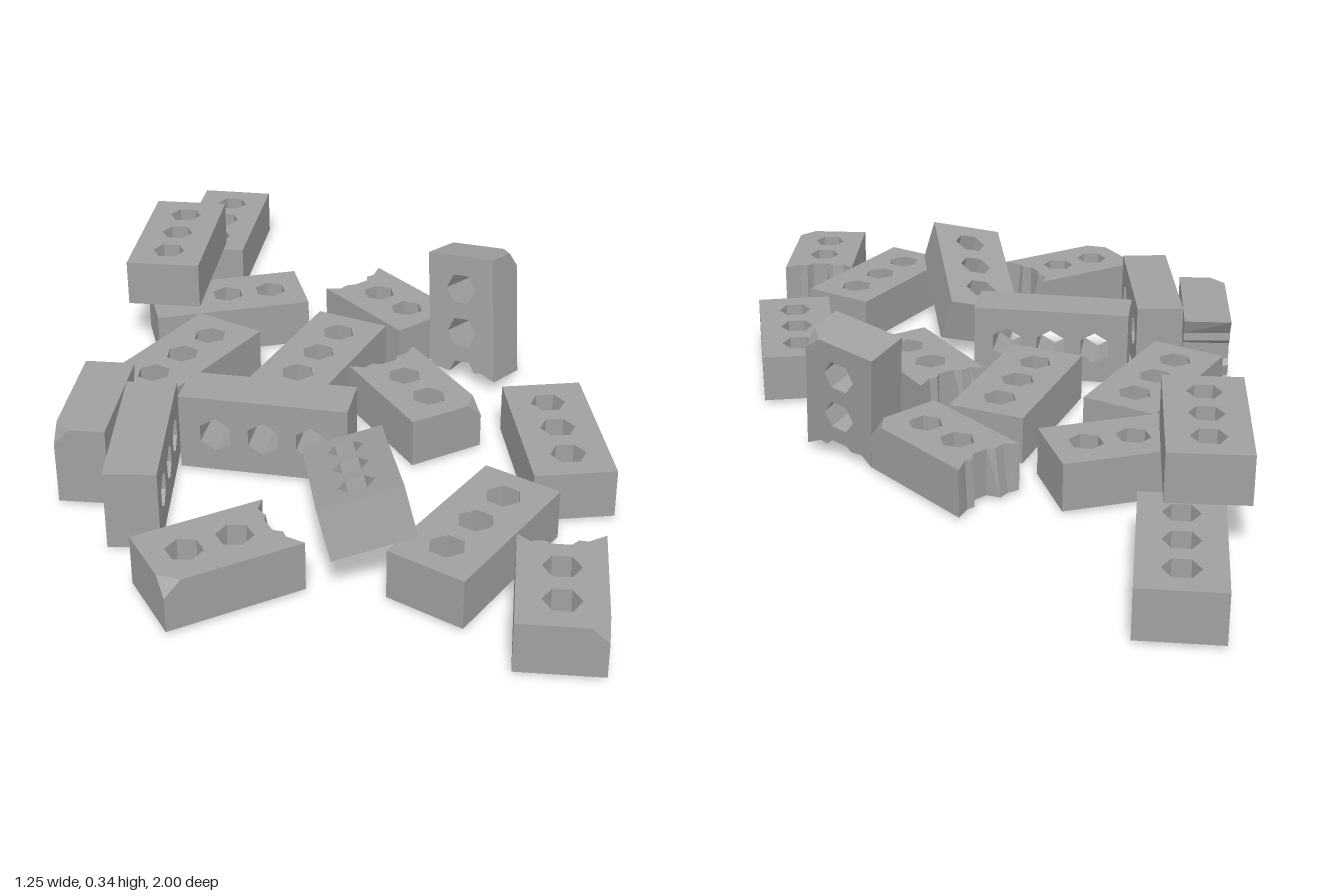
import * as THREE from 'three';
import { mergeGeometries } from 'three/addons/utils/BufferGeometryUtils.js';

const W = 0.0935, L = 0.1975, H = 0.117; // half width, half length, full height
const HOLE_R = 0.041, HOLE_GAP = 0.113;

// Extrudes a plan outline of [x, z] points upward, centred on y = 0
function slab(outline, holeZs = []) {
  const shape = new THREE.Shape(outline.map(([x, z]) => new THREE.Vector2(x, -z)));
  for (const hz of holeZs) {
    const pts = [];
    for (let i = 0; i < 6; i++) {
      const a = (i * Math.PI) / 3;
      pts.push(new THREE.Vector2(HOLE_R * Math.cos(a), -hz + HOLE_R * Math.sin(a)));
    }
    shape.holes.push(new THREE.Path(pts));
  }
  const g = new THREE.ExtrudeGeometry(shape, { depth: H, bevelEnabled: false });
  g.rotateX(-Math.PI / 2);
  g.translate(0, -H / 2, 0);
  return g;
}

// Moves vertices by a rule and restores flat normals
function reshape(g, rule) {
  const p = g.attributes.position, v = new THREE.Vector3();
  for (let i = 0; i < p.count; i++) {
    v.fromBufferAttribute(p, i);
    rule(v);
    p.setXYZ(i, v.x, v.y, v.z);
  }
  g.computeVertexNormals();
  return g;
}

// Whole brick with three hexagonal holes
function wholeBrick() {
  return slab([[-W, L], [W, L], [W, -L], [-W, -L]], [-HOLE_GAP, 0, HOLE_GAP]);
}

// Brick snapped through its third hole, with one chipped top corner
function brokenBrick() {
  const c = 0.038;
  const body = slab([
    [-W, L], [W - c, L], [W, L - c], [W, -0.117], [0.055, -0.1], [0.035, -0.102],
    [0.0205, -0.077], [-0.0205, -0.077], [-0.037, -0.106], [-0.065, -0.1], [-W, -0.106],
  ], [0, HOLE_GAP]);
  // the break slopes back toward the top
  reshape(body, (v) => {
    if (v.y > 0 && v.z < -0.09) {
      if (v.x < -0.03 && v.x > -0.09) v.z += 0.018;
      else if (v.x > 0 && v.x < 0.09) v.z += 0.008;
    }
  });
  const corner = reshape(slab([[W - c, L], [W, L], [W, L - c]]), (v) => {
    if (v.y > 0 && v.x > W - 0.001 && v.z > L - 0.001) v.y -= 0.035;
  });
  return mergeGeometries([body, corner]);
}

export function createModel() {
  const group = new THREE.Group();
  const concrete = new THREE.MeshStandardMaterial({ color: 0xa0a0a0 });
  concrete.name = 'grey concrete';
  const whole = wholeBrick(), broken = brokenBrick();

  // Places a brick by its centre, long axis (local z) and width axis (local x)
  function place(name, geometry, pos, zDir, xDir) {
    const z = new THREE.Vector3(...zDir).normalize();
    const y = new THREE.Vector3().crossVectors(z, new THREE.Vector3(...xDir)).normalize();
    const x = new THREE.Vector3().crossVectors(y, z);
    const mesh = new THREE.Mesh(geometry, concrete);
    mesh.name = name;
    mesh.quaternion.setFromRotationMatrix(new THREE.Matrix4().makeBasis(x, y, z));
    mesh.position.set(...pos);
    group.add(mesh);
  }

  // Whole bricks lying flat: x, z, long axis dx, dz, layer
  [
    [-0.467, -0.802, -3, 73.5, 0],
    [-0.53, -0.452, -0.7, 75, 1],
    [-0.378, -0.333, 69, -24, 0],
    [-0.436, 0, -33, 65, 0],
    [-0.103, -0.042, -25, 70, 0],
    [0.486, 0.259, 15, 72, 0],
    [0.314, 0.655, -36, 65, 0],
  ].forEach(([x, z, dx, dz, layer], i) =>
    place(`flatBrick${i + 1}`, whole, [x, H * (layer + 0.5), z], [dx, 0, dz], [dz, 0, -dx]));

  // Broken bricks lying flat: x, z, direction of the unbroken end
  [
    [0.018, -0.38, 0.7, 0.72],
    [0.118, 0.055, 0.57, 0.82],
    [-0.182, 0.757, -0.84, 0.55],
    [0.494, 0.8, 0, 1],
  ].forEach(([x, z, dx, dz], i) =>
    place(`brokenBrick${i + 1}`, broken, [x, H / 2, z], [dx, 0, dz], [dz, 0, -dx]));

  // Bricks standing on their long narrow side
  place('sideBrick1', whole, [-0.18, W, 0.284], [74, 0, 6.5], [0, 1, 0]);
  place('sideBrick2', whole, [-0.438, W, 0.463], [6, 0, 73], [0, 1, 0]);
  place('sideBrokenBrick', broken, [-0.571, W, 0.3], [0, 0, 1], [0, 1, 0]);

  // Brick leaning on its neighbour, and a broken one propped on end
  place('leaningBrick', whole, [0.056, 0.125, 0.577], [0.2, 0.225, 0.955], [0.941, 0.226, -0.242]);
  place('uprightBrokenBrick', broken, [0.274, 0.117, -0.213], [-0.05, 0.98, -0.2], [0.868, 0.142, 0.474]);

  return group;
}
